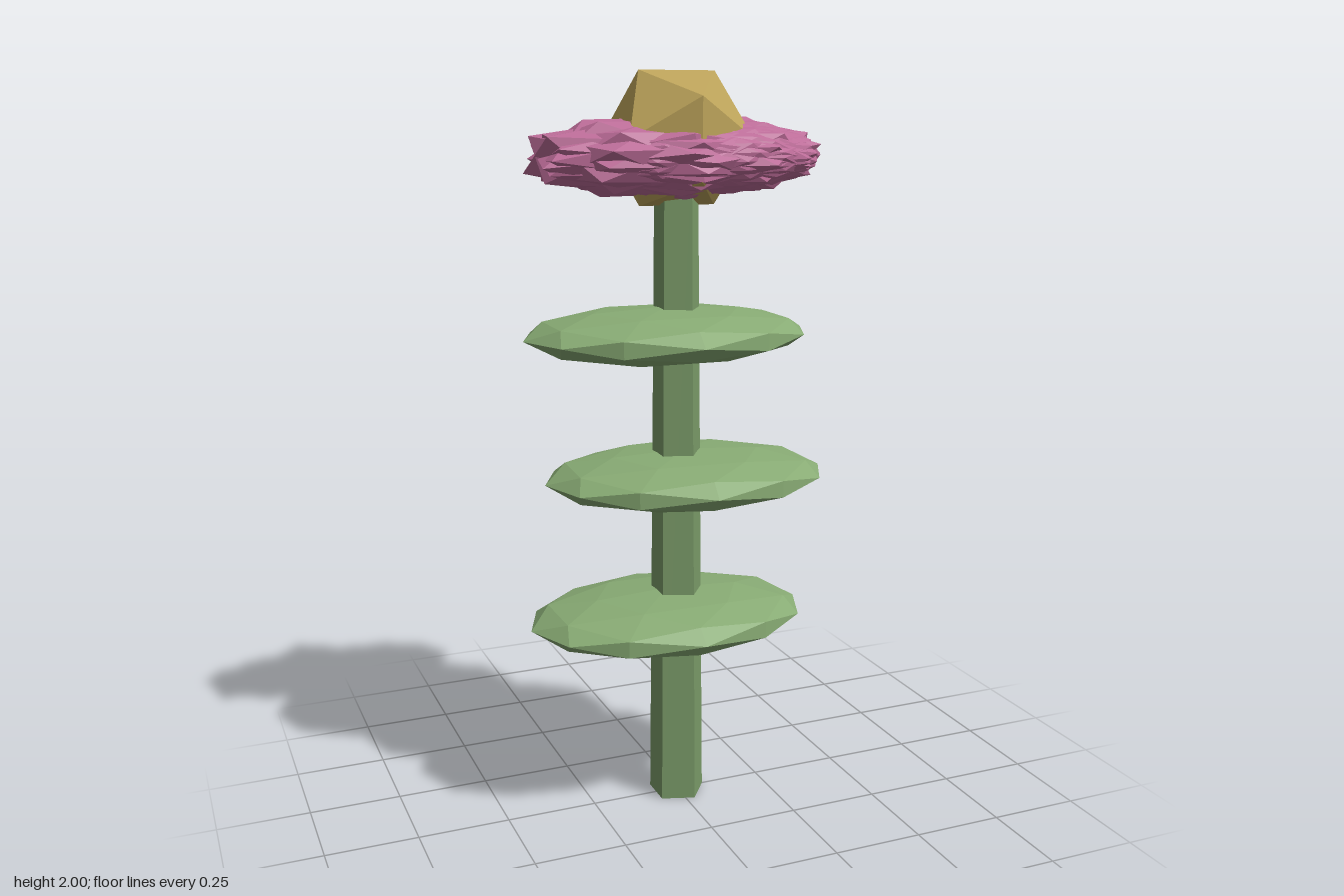
import * as THREE from 'three';

const material = (color) => new THREE.MeshStandardMaterial({ color, flatShading: true });

export function createModel() {
  const model = new THREE.Group();
  model.name = 'flower';
  const stemMat = material(0x7a9a68);
  const leafMat = material(0x88ab74);
  const petalMat = material(0xbc6c98);
  const heartMat = material(0xbca35a);

  const add = (name, geometry, mat, parent = model) => {
    const mesh = new THREE.Mesh(geometry, mat);
    mesh.name = name;
    parent.add(mesh);
    return mesh;
  };

  // Five-sided tapering stem
  const stem = add('stem', new THREE.CylinderGeometry(0.06, 0.079, 1.8, 5), stemMat);
  stem.position.y = 0.9;
  stem.rotation.y = Math.PI / 2;

  // Flat faceted leaves, shifted to alternating sides
  const leafGeo = new THREE.IcosahedronGeometry(1, 1);
  [[-0.03, 0], [0.026, -0.08], [-0.03, -0.025]].forEach(([x, turn], i) => {
    const leaf = add('leaf' + (i + 1), leafGeo, leafMat);
    leaf.scale.set(0.392, 0.073, 0.281);
    leaf.position.set(x, 0.54 + i * 0.392, 0);
    leaf.rotation.y = turn;
  });

  // Spiky blossom: overlapping faceted petals fanned about the long axis
  const blossom = new THREE.Group();
  blossom.name = 'blossom';
  blossom.position.y = 1.785;
  blossom.scale.set(0.4, 0.106, 0.188);
  model.add(blossom);
  const blunt = new THREE.IcosahedronGeometry(1.07, 0);
  const pointed = new THREE.IcosahedronGeometry(0.98, 1);
  const count = 14;
  for (let i = 0; i < count; i++) {
    const sharp = i % 2 === 1;
    const petal = add('petal' + (i + 1), sharp ? pointed : blunt, petalMat, blossom);
    petal.rotation.set((i / count) * Math.PI, 0.06 * Math.sin(i * 2.4), 0.06 * Math.cos(i * 2.4));
    petal.position.x = sharp ? 0.055 : -0.02 + 0.03 * Math.sin(i * 1.7);
  }

  // Faceted centre of the blossom
  add('flowerCentre', new THREE.IcosahedronGeometry(0.2, 0), heartMat).position.y = 1.83;

  return model;
}
